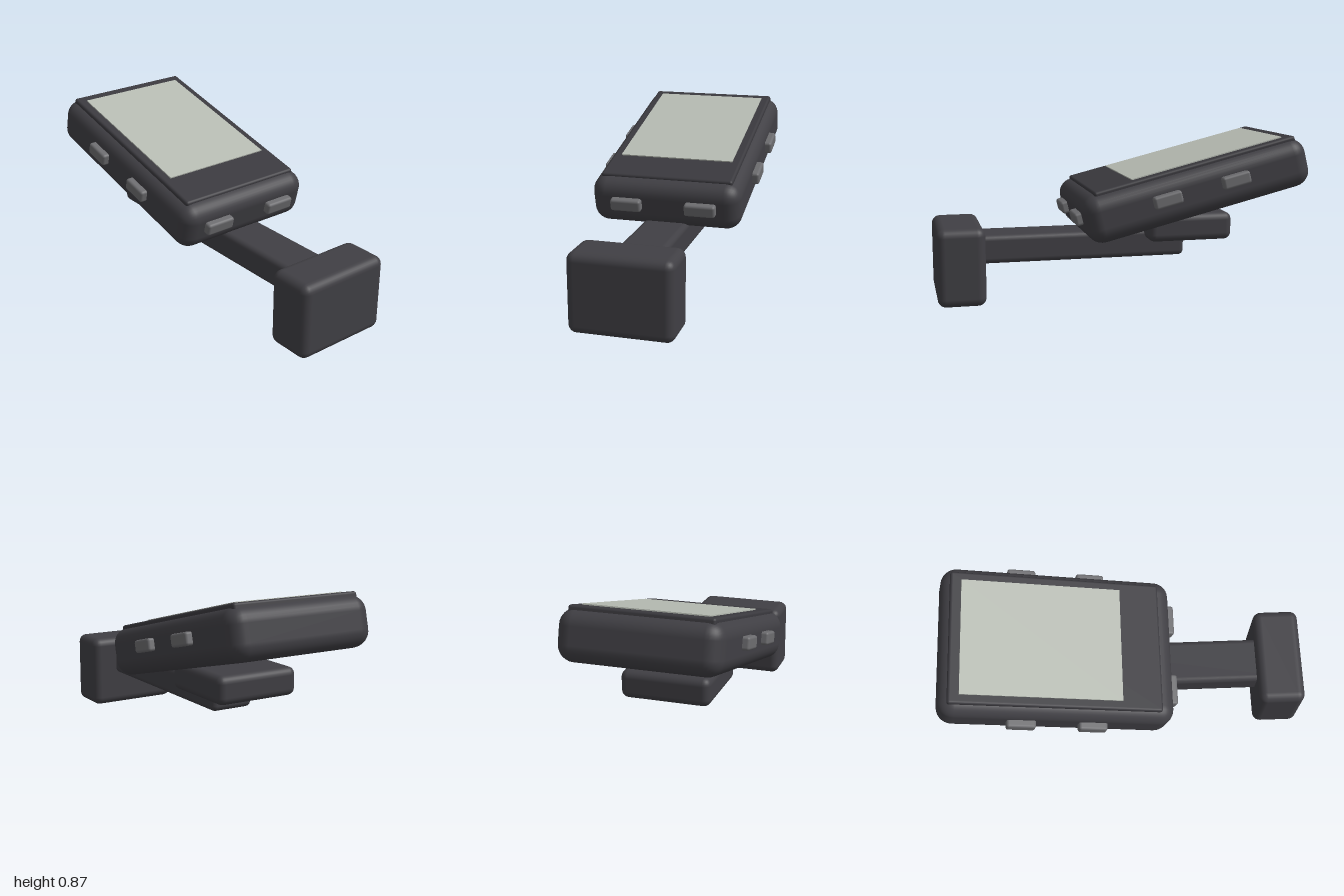
import * as THREE from 'three';
import { RoundedBoxGeometry } from 'three/addons/geometries/RoundedBoxGeometry.js';

const mat = (name, color) => {
  const m = new THREE.MeshStandardMaterial({ color });
  m.name = name;
  return m;
};

// Box with rounded edges, given by its size, centre and edge radius
function rounded(name, [w, h, d], [x, y, z], radius, material, segments = 3) {
  const mesh = new THREE.Mesh(new RoundedBoxGeometry(w, h, d, segments, radius), material);
  mesh.name = name;
  mesh.position.set(x, y, z);
  return mesh;
}

export function createModel() {
  const casing = mat('charcoal casing', 0x403f44);
  const bezelMat = mat('dark bezel', 0x3a393e);
  const buttonMat = mat('grey button', 0x6c6c6f);
  const screenMat = mat('pale grey green screen', 0xb6bbb2);

  const model = new THREE.Group();
  model.name = 'bikeComputerOnMount';

  // Out-front mount: handlebar clamp, arm and holder plate
  const mount = new THREE.Group();
  mount.name = 'mount';
  mount.add(
    rounded('clamp', [0.54, 0.414, 0.254], [0, 0.207, 0.873], 0.045, casing),
    rounded('arm', [0.25, 0.155, 1.2], [0, 0.273, 0.235], 0.03, casing),
    rounded('holderPlate', [0.48, 0.152, 0.47], [0, 0.37, -0.37], 0.04, casing),
  );
  model.add(mount);

  // Tilted head unit
  const unit = new THREE.Group();
  unit.name = 'headUnit';
  unit.position.set(0, 0.589, -0.37);
  unit.rotation.x = THREE.MathUtils.degToRad(14);
  unit.add(
    rounded('body', [0.826, 0.262, 1.26], [0, 0, 0], 0.085, casing, 4),
    rounded('bezel', [0.73, 0.05, 1.135], [0, 0.12, -0.018], 0.014, bezelMat, 2),
  );

  // Thin display plate
  const screen = new THREE.Mesh(new THREE.BoxGeometry(0.635, 0.008, 0.856), screenMat);
  screen.name = 'screen';
  screen.position.set(0, 0.147, -0.099);
  unit.add(screen);

  // Two buttons on each flank and two on the front edge
  for (const s of [-1, 1]) {
    const side = s > 0 ? 'left' : 'right';
    unit.add(
      rounded(side + 'FrontSideButton', [0.08, 0.068, 0.155], [s * 0.41, 0.014, 0.19], 0.014, buttonMat, 2),
      rounded(side + 'RearSideButton', [0.08, 0.068, 0.155], [s * 0.41, 0.014, -0.193], 0.014, buttonMat, 2),
      rounded(side + 'FrontButton', [0.17, 0.068, 0.08], [s * 0.205, 0.014, 0.627], 0.014, buttonMat, 2),
    );
  }
  model.add(unit);
  return model;
}
